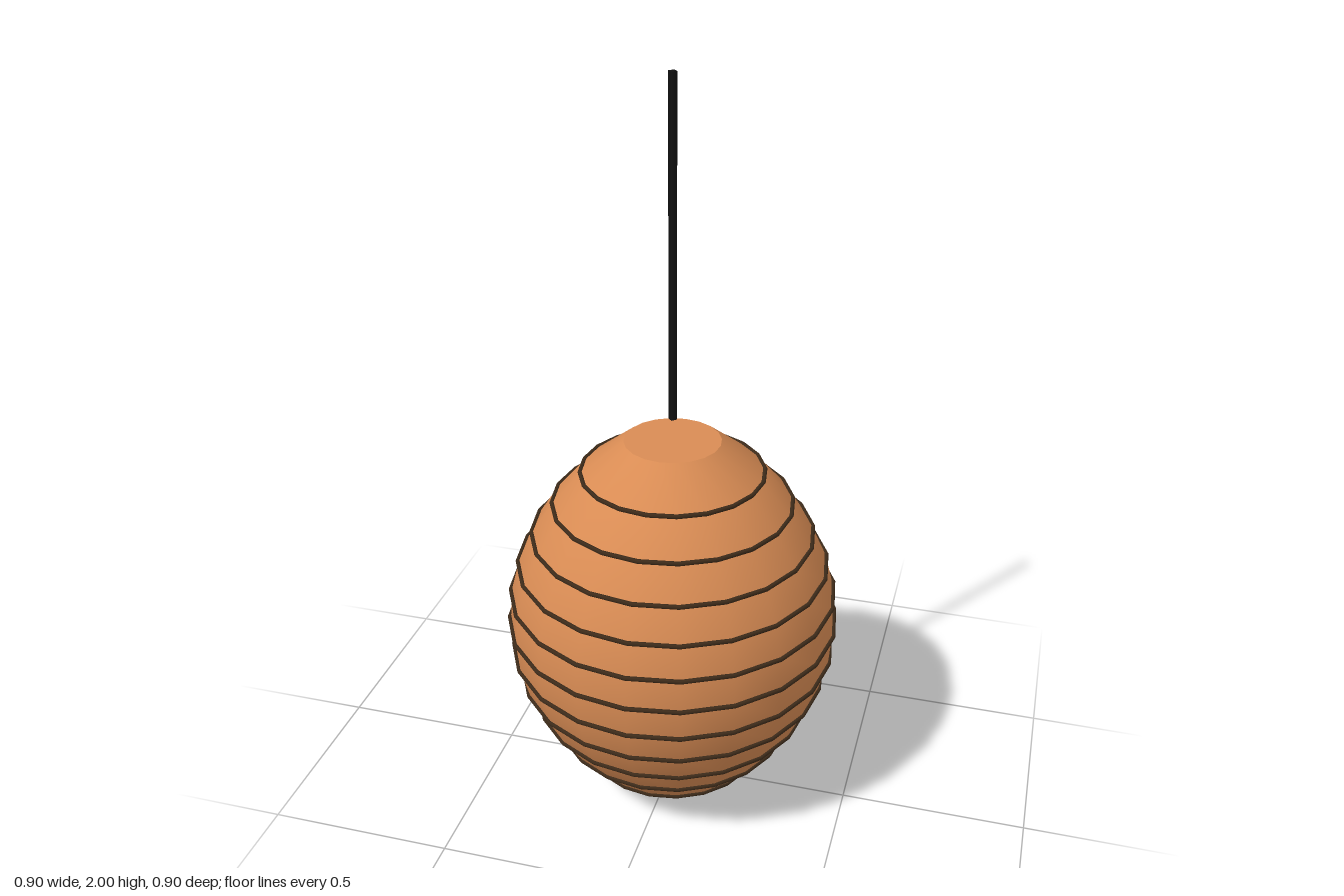
import * as THREE from 'three';

const SIDES = 20;
const HEIGHT = 1.06;
const STEP = HEIGHT / 12;
// Shade radius at each level, from the bottom rim to the middle
const HALF = [0.127, 0.238, 0.314, 0.371, 0.411, 0.434, 0.441];
const radiusAt = (i) => HALF[i <= 6 ? i : 12 - i];

export function createModel() {
  const wood = new THREE.MeshStandardMaterial({ color: 0xd98c54 });
  wood.name = 'warm wood';
  const dark = new THREE.MeshStandardMaterial({ color: 0x3d2b1a });
  dark.name = 'dark brown';
  const black = new THREE.MeshStandardMaterial({ color: 0x111111 });
  black.name = 'black';

  const model = new THREE.Group();
  model.name = 'pendantLamp';
  const add = (name, geometry, material, y) => {
    const mesh = new THREE.Mesh(geometry, material);
    mesh.name = name;
    mesh.position.y = y;
    model.add(mesh);
    return mesh;
  };

  // Barrel-shaped shade, rounded from rim to rim
  const profile = [];
  for (let i = 0; i <= 12; i++) profile.push(new THREE.Vector2(radiusAt(i), i * STEP));
  add('shade', new THREE.LatheGeometry(profile, SIDES), wood, 0);

  // Flat discs closing the shade
  const disc = new THREE.CircleGeometry(HALF[0], SIDES);
  add('topCap', disc, wood, HEIGHT).rotation.x = -Math.PI / 2;
  add('bottomCap', disc, wood, 0).rotation.x = Math.PI / 2;

  // Thin hoops around the shade at every level
  for (let i = 1; i < 12; i++) {
    const hoop = new THREE.TorusGeometry(radiusAt(i) + 0.003, 0.006, 6, SIDES);
    add('hoop' + i, hoop, dark, i * STEP).rotation.x = Math.PI / 2;
  }

  // Hanging cord
  add('cord', new THREE.CylinderGeometry(0.011, 0.011, 0.88, 4), black, 1.56);
  return model;
}
